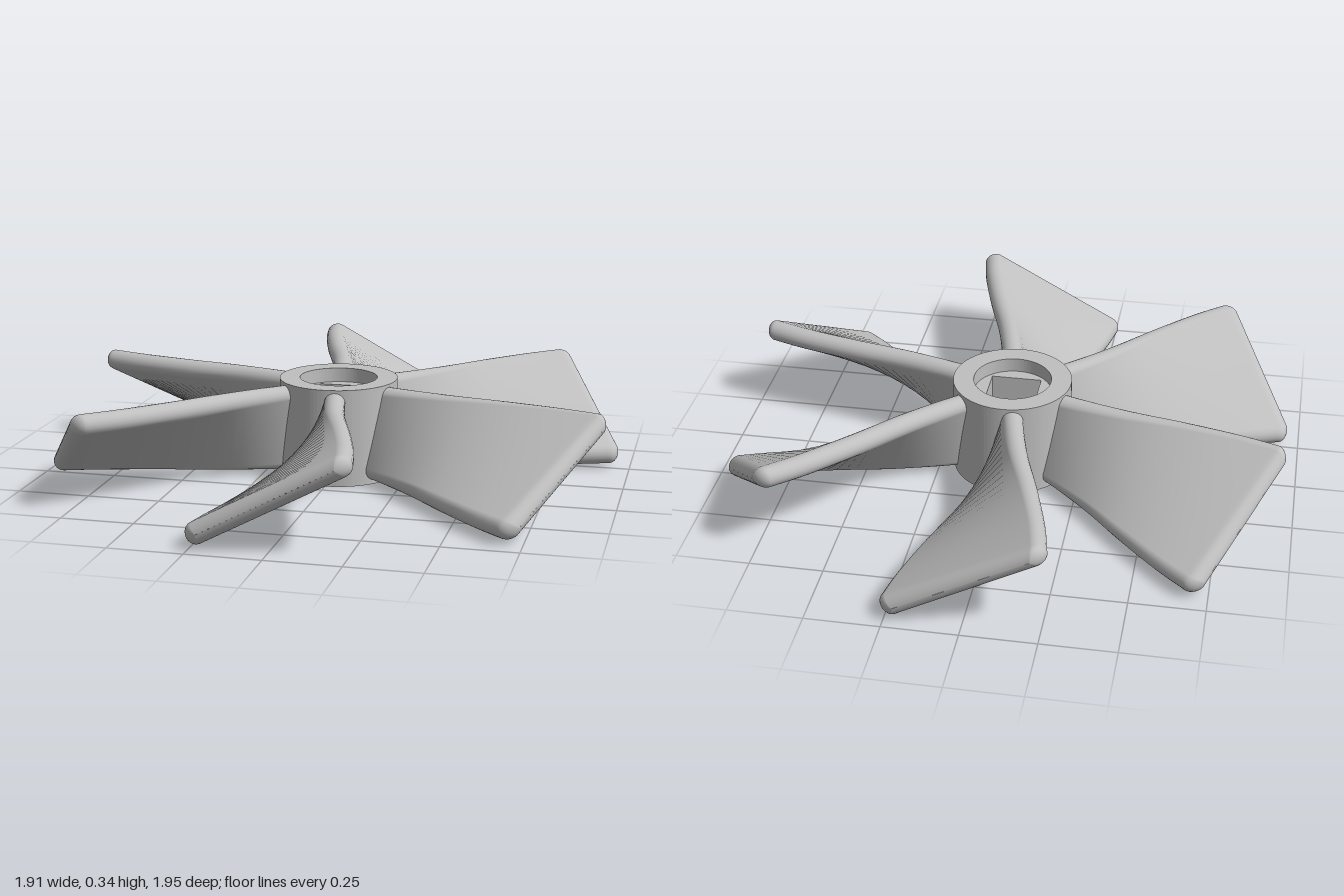
import * as THREE from 'three';

const HEIGHT = 0.34, HUB_R = 0.206, BORE_R = 0.135, SQUARE = 0.087;
const MID_Y = 0.172, HALF_RISE = 0.122, EDGE_R = 0.036;

// Flat slab with a hole, standing from y0 to y1
function slab(radius, hole, y0, y1) {
  const shape = new THREE.Shape().absarc(0, 0, radius, 0, Math.PI * 2);
  shape.holes.push(hole);
  const g = new THREE.ExtrudeGeometry(shape, { depth: y1 - y0, bevelEnabled: false, curveSegments: 48 });
  return g.rotateX(-Math.PI / 2).translate(0, y0, 0);
}

// Twisted blade along +z: rounded slanted sections that widen and flatten outwards
function bladeGeometry() {
  // (radius, half width of the section's centre line)
  const plan = new THREE.SplineCurve([
    [0.16, 0.03], [0.22, 0.036], [0.42, 0.083], [0.63, 0.148], [0.83, 0.203], [0.965, 0.23],
  ].map(p => new THREE.Vector2(...p)));
  const sections = plan.getPoints(30).map(p => ({ r: p.x, w: p.y, t: EDGE_R, rise: HALF_RISE }));
  // rounded tip
  for (let k = 1; k <= 8; k++) {
    const a = (k / 8) * Math.PI / 2, inset = 0.012 * (1 - Math.cos(a));
    sections.push({
      r: 0.965 + 0.035 * Math.sin(a), w: 0.23 - inset,
      t: EDGE_R * Math.max(Math.cos(a), 0.002), rise: HALF_RISE - inset * 0.5,
    });
  }
  const N = 10, loop = 2 * (N + 1), pos = [], index = [];
  for (const { r, w, t, rise } of sections) {
    const tilt = Math.atan2(rise, w);
    for (const side of [1, -1]) {
      for (let k = 0; k <= N; k++) {
        const a = tilt + (k / N - 0.5) * Math.PI + (side < 0 ? Math.PI : 0);
        const x = side * w + t * Math.cos(a);
        pos.push(x, MID_Y + side * rise + t * Math.sin(a), Math.sqrt(r * r - x * x));
      }
    }
  }
  for (let i = 0; i < sections.length - 1; i++) {
    for (let j = 0; j < loop; j++) {
      const a = i * loop + j, b = i * loop + (j + 1) % loop;
      index.push(a, b, b + loop, a, b + loop, a + loop);
    }
  }
  const g = new THREE.BufferGeometry();
  g.setAttribute('position', new THREE.Float32BufferAttribute(pos, 3));
  g.setIndex(index);
  g.computeVertexNormals();
  return g;
}

export function createModel() {
  const model = new THREE.Group();
  model.name = 'fanRotor';
  const grey = new THREE.MeshStandardMaterial({ color: 0xc0c0c0 });
  grey.name = 'lightGrey';
  const add = (name, geometry) => {
    const mesh = new THREE.Mesh(geometry, grey);
    mesh.name = name;
    model.add(mesh);
    return mesh;
  };

  // Hub ring, and the recessed web with its square shaft hole
  add('hub', slab(HUB_R, new THREE.Path().absarc(0, 0, BORE_R, 0, Math.PI * 2, true), 0, HEIGHT));
  const s = SQUARE;
  const square = new THREE.Path([[-s, -s], [-s, s], [s, s], [s, -s]].map(p => new THREE.Vector2(...p)));
  add('shaftSocket', slab(BORE_R + 0.005, square, 0.05, HEIGHT - 0.05));

  // Six blades
  const blade = bladeGeometry();
  for (let i = 0; i < 6; i++) add('blade' + (i + 1), blade).rotation.y = i * Math.PI / 3;
  return model;
}
